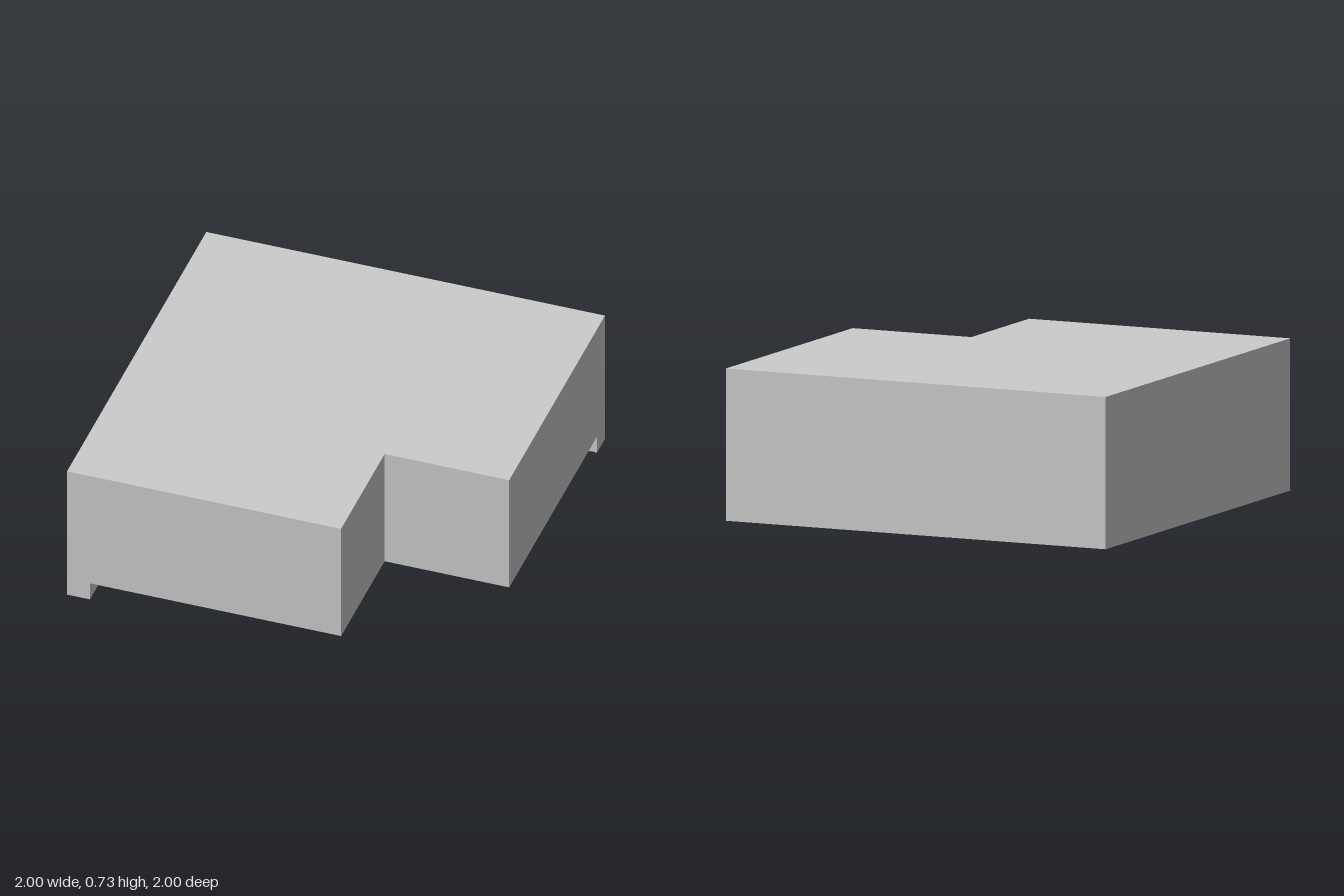
import * as THREE from 'three';

const H = 0.73;      // full height
const S = 0.095;     // underside of the slab, height of the skirt
const N = 0.375;     // inner corner of the front notch
const I = -0.885;    // inner face of the skirt

export function createModel() {
  const positions = [];

  // Flat face as a fan; L-shaped faces start at their inner corner.
  const face = (pts) => {
    for (let k = 1; k < pts.length - 1; k++) {
      positions.push(...pts[0], ...pts[k], ...pts[k + 1]);
    }
  };
  // Upright face at depth z, plus its twin with x and z swapped.
  const wallPair = (z, pts) => {
    face(pts.map(([x, y]) => [x, y, z]));
    face(pts.map(([x, y]) => [z, y, x]).reverse().map((p, k, a) => a[(k + a.length - 1) % a.length]));
  };
  const level = (y, pts) => face(pts.map(([x, z]) => [x, y, z]));

  // Front and left ends, with the open step below
  wallPair(1, [[I, S], [N, S], [N, H], [-1, H], [-1, 0], [I, 0]]);
  // Tall outer walls
  wallPair(-1, [[1, 0], [-1, 0], [-1, H], [1, H]]);
  // Notch walls
  wallPair(N, [[N, S], [1, S], [1, H], [N, H]]);
  // Inner faces of the skirt
  wallPair(I, [[I, 0], [1, 0], [1, S], [I, S]]);
  // End caps of the skirt belong to the ends above; now top, underside and skirt foot
  level(H, [[N, N], [1, N], [1, -1], [-1, -1], [-1, 1], [N, 1]]);
  level(S, [[N, N], [N, 1], [I, 1], [I, I], [1, I], [1, N]]);
  level(0, [[I, I], [I, 1], [-1, 1], [-1, -1], [1, -1], [1, I]]);

  const geometry = new THREE.BufferGeometry();
  geometry.setAttribute('position', new THREE.Float32BufferAttribute(positions, 3));
  geometry.computeVertexNormals();

  const body = new THREE.Mesh(
    geometry,
    new THREE.MeshStandardMaterial({ color: 0xcccccc, flatShading: true })
  );
  body.name = 'notchedBlockWithSkirt';

  const group = new THREE.Group();
  group.name = 'cornerBlock';
  group.add(body);
  return group;
}
